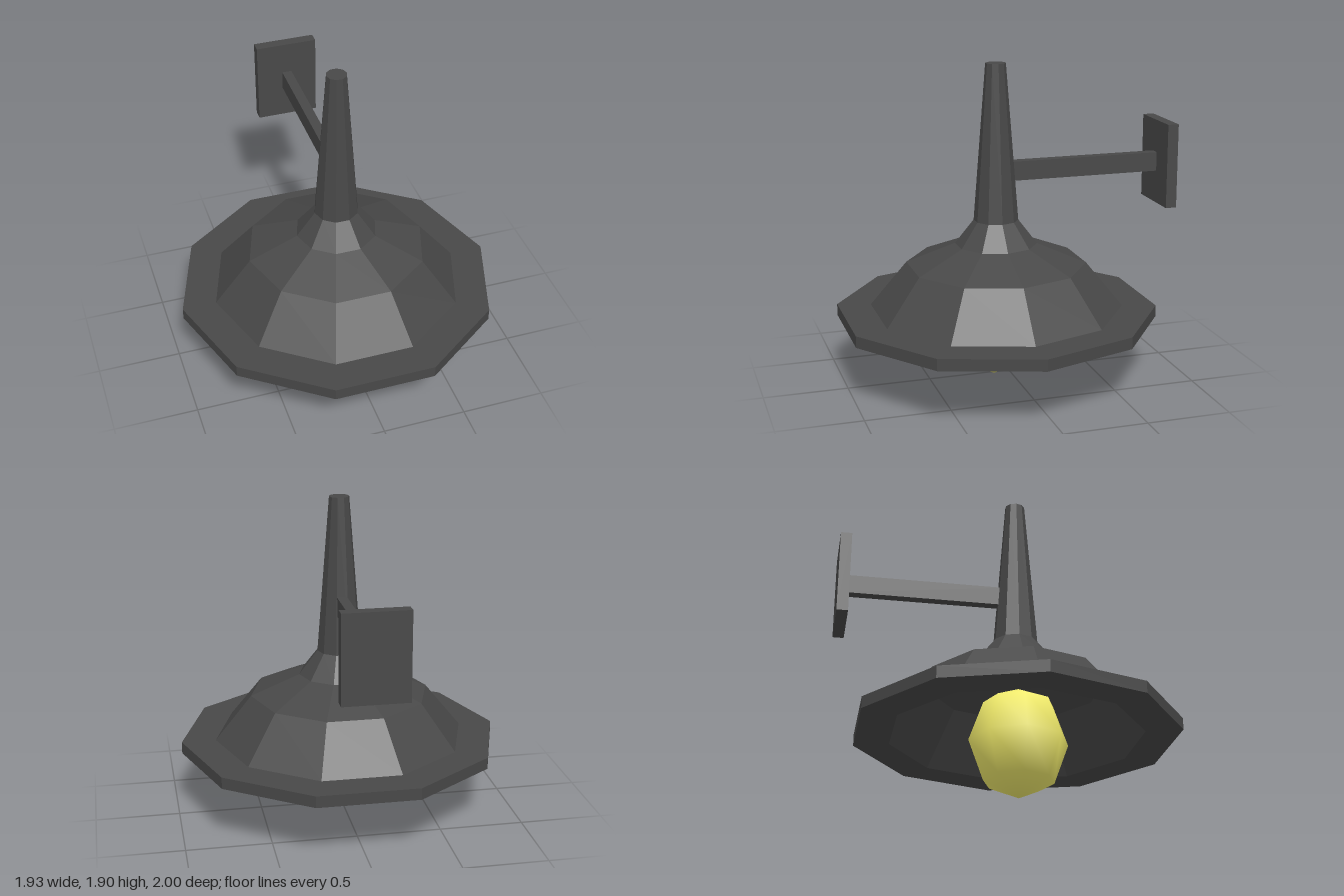
import * as THREE from 'three';

const AXIS_Z = 0.08; // depth of the lamp's vertical axis

export function createModel() {
  const lamp = new THREE.Group();
  lamp.name = 'wallLamp';
  const metal = new THREE.MeshStandardMaterial({ color: 0x484848, flatShading: true });
  const glow = new THREE.MeshStandardMaterial({ color: 0xf2ec6c });

  const add = (name, geometry, material, x, y, z) => {
    const mesh = new THREE.Mesh(geometry, material);
    mesh.name = name;
    mesh.position.set(x, y, z);
    lamp.add(mesh);
    return mesh;
  };

  // Ten-sided hollow shade with flat rim, flared neck and tapering stem
  const profile = [
    [0, 0.8], [0.23, 0.79], [0.52, 0.68], [0.75, 0.36], // inside, downwards
    [0.965, 0.36], [0.965, 0.43], [0.76, 0.43],         // rim
    [0.54, 0.7], [0.245, 0.82], [0.133, 0.965],         // outside, upwards
    [0.06, 1.9], [0, 1.9],                              // stem
  ].map(([r, y]) => new THREE.Vector2(r, y));
  add('shadeAndStem', new THREE.LatheGeometry(profile, 10, Math.PI / 2), metal, 0, 0, AXIS_Z);

  // Smooth-shaded low-poly bulb, slightly taller than wide
  const bulb = add('bulb', new THREE.SphereGeometry(1, 8, 4), glow, 0.02, 0.338, 0.1);
  bulb.scale.set(0.295, 0.338, 0.295);

  // Arm and wall plate
  add('arm', new THREE.BoxGeometry(0.06, 0.115, 0.95), metal, 0, 1.258, -0.475);
  add('wallPlate', new THREE.BoxGeometry(0.38, 0.51, 0.067), metal, 0, 1.258, -0.967);

  return lamp;
}
